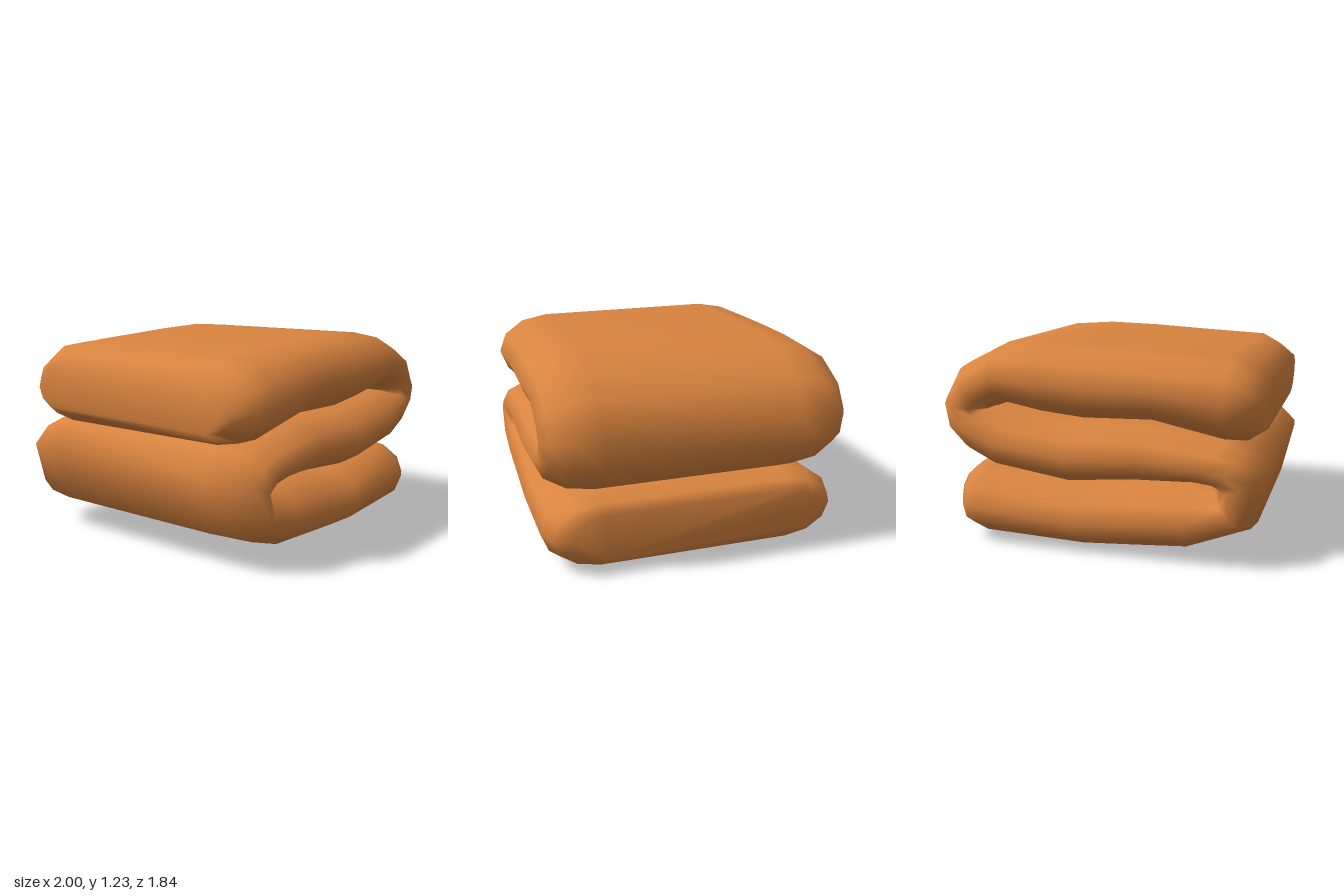
import * as THREE from 'three';

// Stations along the folded cloth: [x, y] on one face, [x, y] on the other, edge roll depth
const FULL = 0.34;
const STATIONS = [
  // bottom layer, from its free end
  [0.90, 0.11, 0.90, 0.39, 0.18],
  [0.84, 0.05, 0.84, 0.44, 0.29],
  [0.74, 0.02, 0.72, 0.47, FULL],
  [0.10, 0.005, 0.15, 0.39, FULL],
  [-0.20, 0.025, -0.22, 0.43, FULL],
  [-0.53, 0.05, -0.55, 0.45, FULL],
  // left fold
  [-0.92, 0.21, -0.68, 0.42, FULL],
  [-1.00, 0.55, -0.70, 0.42, FULL],
  [-0.87, 0.68, -0.66, 0.44, FULL],
  // middle layer
  [-0.75, 0.72, -0.55, 0.45, FULL],
  [-0.32, 0.79, -0.20, 0.43, FULL],
  [0.12, 0.775, 0.20, 0.39, FULL],
  [0.50, 0.82, 0.68, 0.46, FULL],
  // right fold
  [0.62, 0.85, 0.86, 0.55, FULL],
  [0.68, 0.83, 0.97, 0.69, FULL],
  [0.69, 0.82, 1.00, 0.88, FULL],
  [0.67, 0.82, 0.89, 1.08, FULL],
  // top layer, to its free end
  [0.60, 0.85, 0.63, 1.21, FULL],
  [0.35, 0.80, 0.35, 1.23, FULL],
  [0.10, 0.775, 0.00, 1.22, FULL],
  [-0.32, 0.79, -0.35, 1.20, FULL],
  [-0.74, 0.70, -0.76, 1.18, FULL],
  [-0.86, 0.70, -0.87, 1.12, 0.29],
  [-0.96, 0.77, -0.97, 1.04, 0.18],
];
const FLAT = 0.58; // half width of the flat middle of the cloth

// Rounded cross-section: t runs across the thickness, s is the edge roll, side is the z sign
function sectionPoints() {
  const points = [];
  for (const side of [1, -1]) {
    for (let k = 0; k <= 6; k++) {
      const a = (k * Math.PI) / 6;
      points.push({ t: side * Math.cos(a), s: Math.sin(a), side });
    }
  }
  return points;
}

function foldedCloth() {
  const section = sectionPoints();
  const n = section.length;
  const positions = [];
  const indices = [];

  // Rings
  for (const [px, py, qx, qy, roll] of STATIONS) {
    for (const { t, s, side } of section) {
      positions.push(
        (px + qx) / 2 + (t * (px - qx)) / 2,
        (py + qy) / 2 + (t * (py - qy)) / 2,
        side * (FLAT + roll * s),
      );
    }
  }

  // Skin between neighbouring rings
  for (let i = 0; i < STATIONS.length - 1; i++) {
    for (let j = 0; j < n; j++) {
      const a = i * n + j;
      const b = i * n + ((j + 1) % n);
      indices.push(a, b, a + n, b, b + n, a + n);
    }
  }

  // Free ends
  const last = (STATIONS.length - 1) * n;
  for (let j = 1; j < n - 1; j++) {
    indices.push(0, j + 1, j);
    indices.push(last, last + j, last + j + 1);
  }

  const geometry = new THREE.BufferGeometry();
  geometry.setAttribute('position', new THREE.Float32BufferAttribute(positions, 3));
  geometry.setIndex(indices);
  geometry.computeVertexNormals();
  return geometry;
}

export function createModel() {
  const group = new THREE.Group();
  group.name = 'foldedBlanket';
  const orangeCloth = new THREE.MeshStandardMaterial({ color: 0xd9843f });
  orangeCloth.name = 'orangeCloth';
  const blanket = new THREE.Mesh(foldedCloth(), orangeCloth);
  blanket.name = 'blanket';
  group.add(blanket);
  return group;
}
